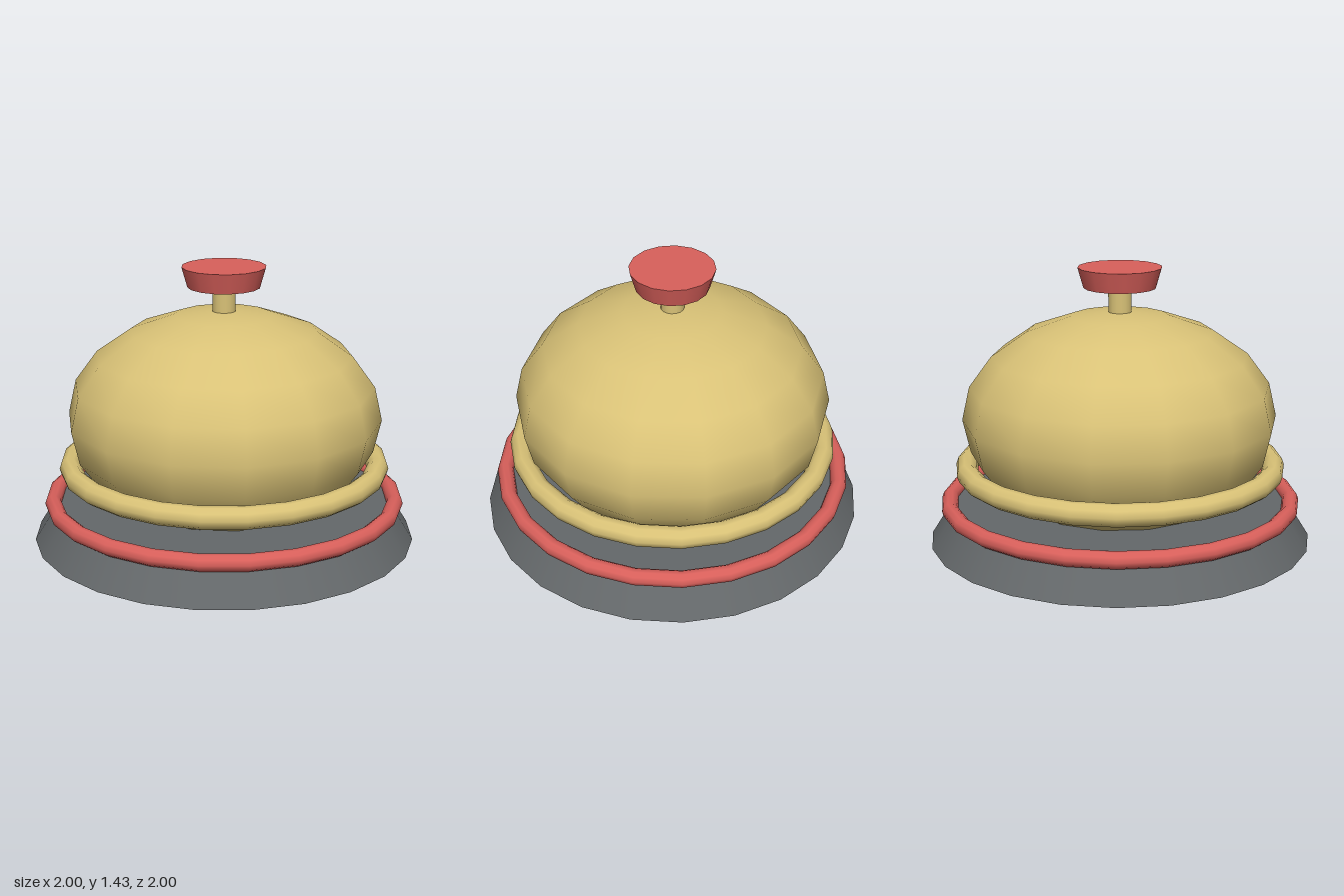
import * as THREE from 'three';

export function createModel() {
  const mat = (name, color) => {
    const m = new THREE.MeshStandardMaterial({ color });
    m.name = name;
    return m;
  };
  const brass = mat('brass', 0xd9c277);
  const red = mat('red', 0xd9605b);
  const grey = mat('dark grey', 0x64686a);

  const model = new THREE.Group();
  model.name = 'deskBell';
  const add = (name, geometry, material, y) => {
    const mesh = new THREE.Mesh(geometry, material);
    mesh.name = name;
    mesh.position.y = y;
    model.add(mesh);
  };
  // Horizontal ring, vertices on the x and z axes
  const ring = (radius, tube) => new THREE.TorusGeometry(radius, tube, 10, 24).rotateX(Math.PI / 2);

  // Sloped foot with a red trim ring around its top edge
  add('base', new THREE.CylinderGeometry(0.875, 1, 0.2, 24), grey, 0.1);
  add('baseTrim', ring(0.9, 0.043), red, 0.198);

  // Flattened faceted bell, corners facing front and back, with a rim ring
  const dome = new THREE.SphereGeometry(0.82, 14, 10);
  dome.scale(1, 0.695, 1).rotateY(Math.PI / 2);
  add('bellDome', dome, brass, 0.64);
  add('bellRim', ring(0.805, 0.057), brass, 0.387);

  // Plunger: stem and flared push button
  add('stem', new THREE.CylinderGeometry(0.06, 0.06, 0.17, 16), brass, 1.265);
  add('button', new THREE.CylinderGeometry(0.217, 0.187, 0.105, 16), red, 1.382);

  return model;
}
